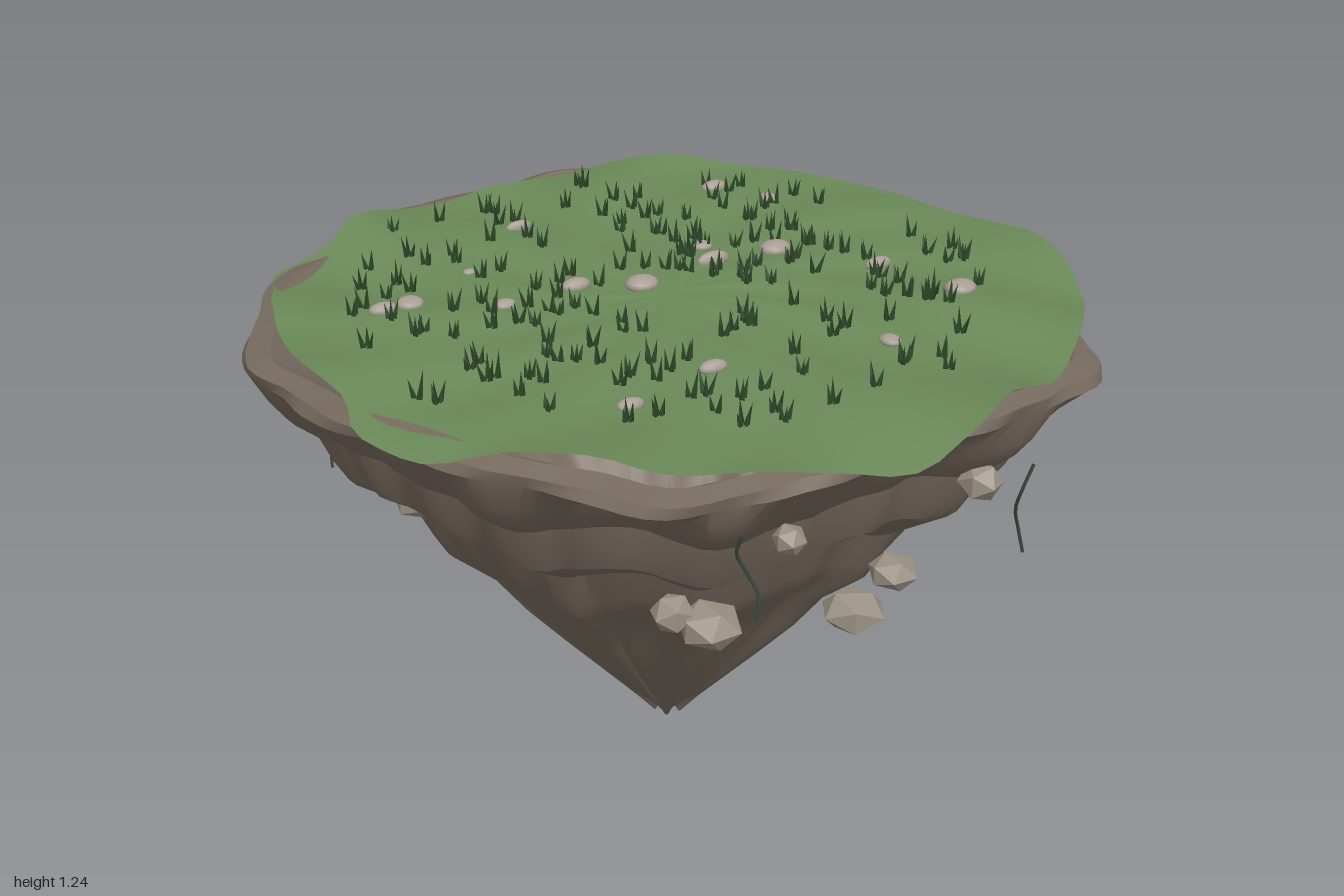
import * as THREE from 'three';
import { mergeGeometries, toCreasedNormals } from 'three/addons/utils/BufferGeometryUtils.js';

const TAU = Math.PI * 2;
const { sin, cos, floor } = Math;

// Outline radii every 10 degrees, from +x round through +z
const ROCK_RIM = [0.95, 0.94, 0.93, 0.94, 0.97, 1.01, 0.98, 0.93, 0.9, 0.9, 0.91, 0.95, 0.98, 0.95, 0.93, 0.93, 0.92, 0.93,
  0.95, 0.98, 0.98, 0.96, 0.95, 0.93, 0.95, 1.02, 0.98, 0.97, 1.01, 0.97, 0.97, 0.96, 1.01, 1.02, 1.01, 0.99];
const GRASS_RIM = [0.95, 0.98, 0.99, 0.98, 0.96, 0.95, 0.95, 0.94, 0.97, 0.99, 0.95, 0.92, 0.94, 0.9, 0.9, 0.97, 0.96, 0.89,
  0.9, 0.9, 0.91, 0.93, 0.97, 0.89, 0.9, 0.92, 0.88, 0.89, 0.92, 0.97, 0.98, 0.96, 0.96, 0.94, 0.93, 0.93];

// Rock strata from the tip up: [share of rim radius, height]
const STRATA = [[0.035, 0.0], [0.11, 0.09], [0.275, 0.28], [0.375, 0.4], [0.455, 0.51], [0.57, 0.605], [0.605, 0.66],
  [0.655, 0.755], [0.8, 0.845], [0.83, 0.9], [0.855, 0.97], [0.915, 1.02], [0.95, 1.07], [1.0, 1.12], [0.995, 1.145],
  [0.94, 1.16], [0.86, 1.11]];

function seeded(seed) {
  return () => {
    seed = (seed * 16807) % 2147483647;
    return seed / 2147483647;
  };
}

function rimAt(list, angle) {
  const t = (angle / TAU) * list.length;
  const i = floor(t), f = (1 - cos((t - i) * Math.PI)) / 2;
  return list[i % list.length] * (1 - f) + list[(i + 1) % list.length] * f;
}

// Surface made of closed rings; point(row, angle, column) gives [x, y, z]
function ringSurface(rows, cols, point) {
  const pos = [], index = [];
  for (let i = 0; i < rows; i++) {
    for (let j = 0; j < cols; j++) pos.push(...point(i, (j / cols) * TAU, j));
  }
  for (let i = 0; i < rows - 1; i++) {
    for (let j = 0; j < cols; j++) {
      const a = i * cols + j, b = i * cols + (j + 1) % cols, c = a + cols, d = b + cols;
      index.push(a, c, b, b, c, d);
    }
  }
  const geo = new THREE.BufferGeometry();
  geo.setAttribute('position', new THREE.Float32BufferAttribute(pos, 3));
  geo.setIndex(index);
  geo.computeVertexNormals();
  return geo;
}

const groundHeight = (x, z) => {
  const a = Math.atan2(z, x), r = Math.hypot(x, z);
  return 1.175 + r * (0.008 * sin(7 * a + 5 * r) + 0.006 * sin(13 * a - 9 * r)) + 0.005 * sin(9 * x) * cos(8 * z);
};

export function createModel() {
  const model = new THREE.Group();
  const rand = seeded(4127);
  const mat = (color, extra = {}) => new THREE.MeshStandardMaterial({ color, ...extra });
  const rockMat = mat(0x766a5e, { side: THREE.DoubleSide });
  const grassMat = mat(0x6a8958, { side: THREE.DoubleSide });
  const tuftMat = mat(0x2f4a29, { side: THREE.DoubleSide });
  const vineMat = mat(0x35483a);
  const boulderMat = mat(0x9a9183, { flatShading: true });
  const pebbleMat = mat(0xa89e94);
  const add = (name, geo, material, parent = model) => {
    const mesh = new THREE.Mesh(geo, material);
    mesh.name = name;
    parent.add(mesh);
    return mesh;
  };
  const group = (name) => {
    const g = new THREE.Group();
    g.name = name;
    model.add(g);
    return g;
  };

  // Hanging rock cone with wavy strata and vertical ridges; its rim curls in under the grass
  const COLS = 144;
  const ridge = Array.from({ length: COLS }, () => rand() - 0.5);
  const rock = ringSurface(STRATA.length, COLS, (i, a, j) => {
    const [share, h] = STRATA[i];
    const wave = 0.65 * sin(9 * a + 0.6) + 0.35 * sin(14 * a + 2);
    const blend = Math.min(1, h / 0.6);
    const rim = i > 12;
    const y = i === 0 ? 0.012 * (1 + sin(5 * a))
      : h + (rim ? 0.012 * sin(5 * a + 1) : 0.03 * blend * wave);
    const bump = rim ? 0.012 * sin(15 * a + h * 40)
      : 0.03 * ridge[j] * (1.3 - blend) + 0.012 * wave * sin(h * 9 + 1) + 0.012 * sin(23 * a);
    const r = rimAt(ROCK_RIM, a) * share * (1 + bump);
    return [r * cos(a), y, r * sin(a)];
  });
  add('rockCone', toCreasedNormals(rock, 0.45), rockMat);

  // Gently rippled grass sheet with an uneven edge
  const RINGS = 19;
  const grass = ringSurface(RINGS, 108, (i, a) => {
    const s = 1 - i / (RINGS - 1);
    const r = rimAt(GRASS_RIM, a) * s;
    const x = r * cos(a), z = r * sin(a);
    const edge = s ** 9 * (0.014 * sin(6 * a + 1) + 0.012 * sin(11 * a));
    return [x, groundHeight(x, z) + edge, z];
  });
  add('grassTop', grass, grassMat);

  // Grass tufts: narrow blades leaning outward from a common root
  const blades = [];
  for (let n = 0; n < 175; n++) {
    const r = 0.79 * Math.sqrt(0.02 + 0.98 * rand()), a = rand() * TAU;
    const x = r * cos(a), z = r * sin(a), turn = rand() * TAU;
    for (let k = 0; k < 3; k++) {
      const h = 0.038 + 0.024 * rand();
      const blade = new THREE.ConeGeometry(0.008, h, 3, 1, true);
      blade.translate(0, h / 2, 0);
      blade.rotateZ(-0.1 - 0.25 * rand());
      blade.translate(0.007, 0, 0);
      blade.rotateY(turn + (k / 3) * TAU);
      blade.translate(x, groundHeight(x, z) - 0.003, z);
      blades.push(blade);
    }
  }
  add('grassTufts', mergeGeometries(blades), tuftMat);

  // Smooth pebbles on the grass: x, z, radius, share of depth
  const pebbles = group('pebbles');
  [[-0.63, -0.21, 0.035, 0.6], [-0.56, -0.22, 0.034, 0.95], [-0.12, -0.55, 0.035, 0.35], [-0.35, -0.35, 0.017, 0.8],
    [-0.37, -0.11, 0.028, 0.75], [-0.17, -0.14, 0.038, 0.6], [-0.03, -0.07, 0.042, 0.85], [0.19, -0.11, 0.045, 0.35],
    [0.22, -0.21, 0.027, 0.8], [0.37, -0.11, 0.042, 0.8], [0.47, -0.57, 0.037, 0.6], [0.56, -0.44, 0.022, 1.4],
    [0.54, 0.09, 0.037, 0.45], [0.59, 0.35, 0.04, 0.85], [0.29, 0.49, 0.024, 1.2], [-0.14, 0.44, 0.035, 0.55],
    [-0.37, 0.49, 0.032, 0.6]].forEach(([x, z, r, depth]) => {
    const pebble = add('pebble', new THREE.SphereGeometry(r, 12, 8), pebbleMat, pebbles);
    pebble.position.set(x, groundHeight(x, z) + r * 0.15, z);
    pebble.scale.set(1, 0.5, depth);
  });

  // Faceted boulders stuck to and floating by the cone: x, y, z, radius
  const boulders = group('boulders');
  [[0.83, 0.91, 0.08, 0.078], [0.57, 0.62, 0.28, 0.07], [0.49, 0.44, -0.19, 0.036], [0.22, 0.5, 0.5, 0.078],
    [0.23, 0.67, 0.63, 0.06], [-0.25, 0.67, 0.62, 0.075], [-0.32, 0.7, 0.58, 0.05], [-0.17, 0.95, 0.8, 0.037],
    [0.33, 0.95, 0.79, 0.05], [0.51, 0.61, -0.34, 0.062], [0.47, 0.57, -0.43, 0.072], [-0.09, 0.55, -0.56, 0.055],
    [-0.31, 0.37, -0.38, 0.055], [-0.67, 0.81, 0.02, 0.055], [-0.81, 1.0, -0.14, 0.045]].forEach(([x, y, z, r]) => {
    const boulder = add('boulder', new THREE.IcosahedronGeometry(r, 0), boulderMat, boulders);
    boulder.position.set(x, y, z);
    boulder.scale.set(1.05, r < 0.055 ? 0.95 : 0.7, 1);
    boulder.rotation.y = rand() * TAU;
  });

  // Thin hanging vines: x, z, top, bottom
  const vines = group('vines');
  [[-0.6, -0.69, 0.76, 0.56], [0.47, -0.81, 0.82, 0.58], [0.58, -0.62, 0.95, 0.79], [0.44, 0.81, 0.98, 0.74],
    [-0.3, 0.85, 1.02, 0.83]].forEach(([x, z, top, bottom], n) => {
    const points = [0, 0.25, 0.5, 0.75, 1].map((t) => new THREE.Vector3(
      x + 0.02 * sin(5 * t + n), top + (bottom - top) * t, z + 0.02 * cos(4.5 * t + n * 2)));
    add('vine', new THREE.TubeGeometry(new THREE.CatmullRomCurve3(points), 16, 0.004, 5), vineMat, vines);
  });

  return model;
}
